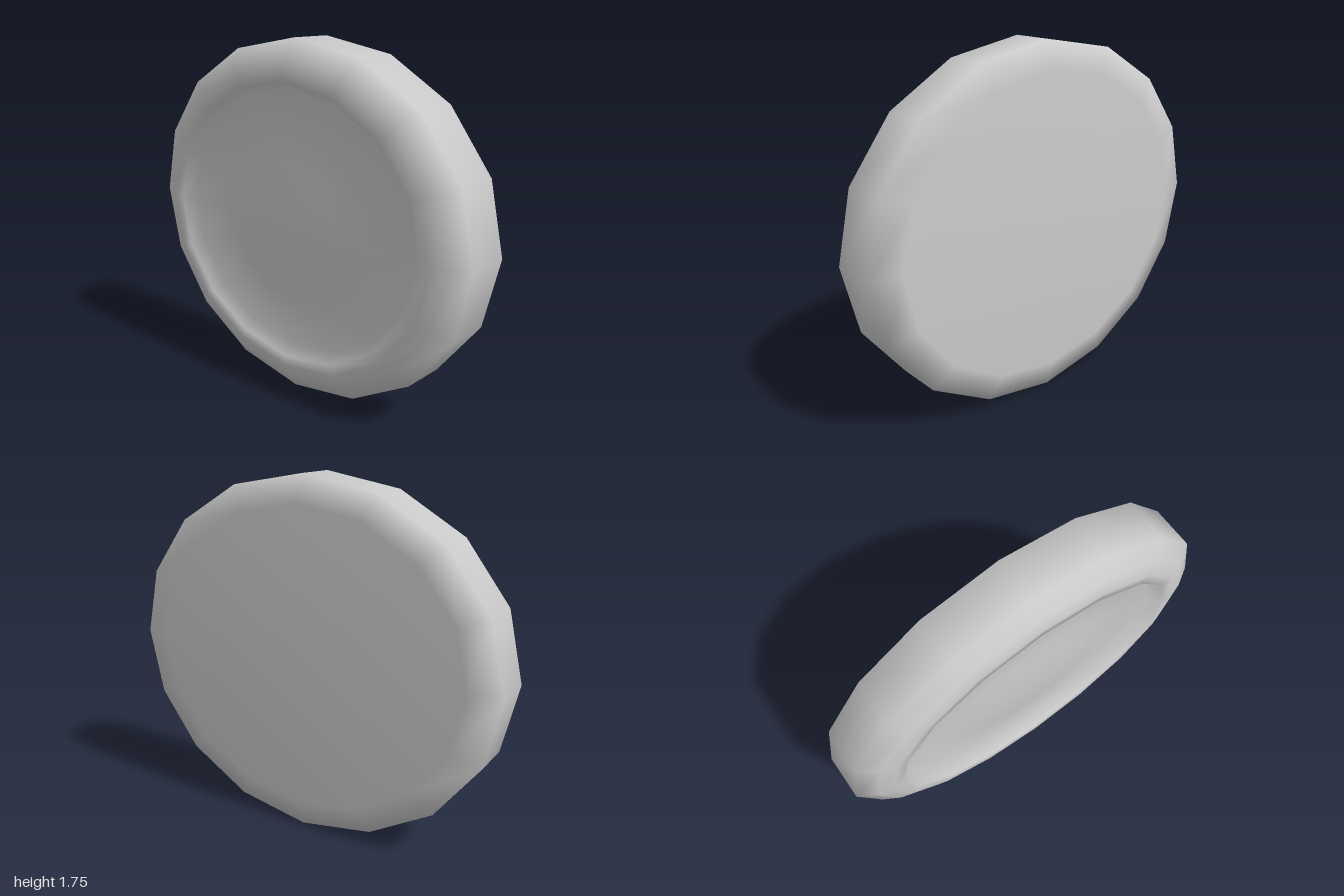
import * as THREE from 'three';
import { mergeVertices } from 'three/addons/utils/BufferGeometryUtils.js';

const SIDES = 16;
const HALF_HEIGHT = 0.877; // the disc is slightly flattened in y

// [radius, x] from the centre of the dished side, round the rim, to the centre of the flat side
const PROFILE = [
  [0, -0.135], [0.3, -0.13],              // raised hub
  [0.44, -0.11], [0.73, -0.11],           // dish floor
  [0.78, -0.165],                         // dish lip
  [0.84, -0.168], [0.91, -0.145],         // rounded shoulder
  [1, -0.09], [1, 0.13],                  // rim
  [0.85, 0.163], [0, 0.163],              // bevel and flat face
];

export function createModel() {
  const group = new THREE.Group();
  group.name = 'wheel';

  const points = PROFILE.map(([r, x]) => new THREE.Vector2(r, x));
  let geometry = new THREE.LatheGeometry(points, SIDES);
  geometry.rotateZ(-Math.PI / 2); // turn the axle onto x
  geometry.scale(1, HALF_HEIGHT, 1);

  // weld the seam so the smooth shading runs all the way round
  geometry.deleteAttribute('normal');
  geometry.deleteAttribute('uv');
  geometry = mergeVertices(geometry, 1e-4);
  geometry.computeVertexNormals();

  const disc = new THREE.Mesh(geometry, new THREE.MeshStandardMaterial({ color: 0xcccccc }));
  disc.name = 'wheelDisc';
  disc.position.y = HALF_HEIGHT;
  group.add(disc);
  return group;
}
